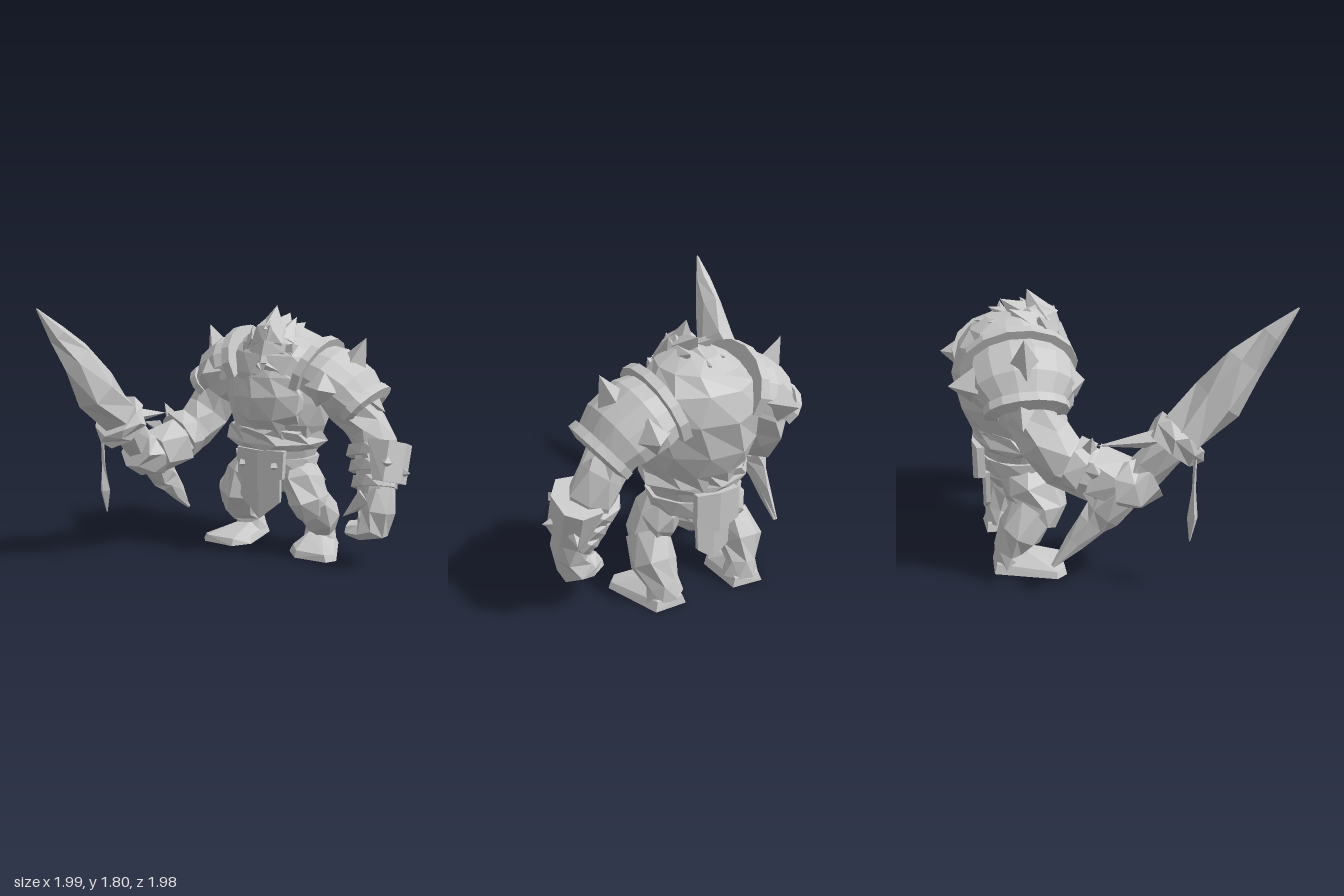
import * as THREE from 'three';
import { ConvexGeometry } from 'three/addons/geometries/ConvexGeometry.js';

const V = (x, y, z) => new THREE.Vector3(x, y, z);
const X = V(1, 0, 0), Z = V(0, 0, 1);

export function createModel() {
  const model = new THREE.Group();
  const stone = new THREE.MeshStandardMaterial({ color: 0xc8c8c8, side: THREE.DoubleSide });
  stone.name = 'plain grey';

  // Faceted mesh from any geometry
  function add(name, geo, parent = model) {
    const flat = geo.index ? geo.toNonIndexed() : geo;
    flat.computeVertexNormals();
    const mesh = new THREE.Mesh(flat, stone);
    mesh.name = name;
    parent.add(mesh);
    return mesh;
  }
  function build(pos, idx) {
    const geo = new THREE.BufferGeometry();
    geo.setAttribute('position', new THREE.Float32BufferAttribute(pos, 3));
    geo.setIndex(idx);
    return geo;
  }

  // Rough tube through sections [x, y, z, radiusU, radiusV], rings square to the path
  function limb(name, secs, n = 7, ref = Z, rough = 0.06, parent = model) {
    const c = secs.map(s => V(s[0], s[1], s[2])), pos = [], idx = [], m = secs.length;
    c.forEach((p, i) => {
      const t = c[Math.min(i + 1, m - 1)].clone().sub(c[Math.max(i - 1, 0)]).normalize();
      const u = t.clone().cross(ref).normalize(), v = t.clone().cross(u);
      for (let j = 0; j < n; j++) {
        const a = (j + (i % 2) * 0.3) / n * Math.PI * 2, k = 1 + rough * Math.sin(i * 7.1 + j * 3.7);
        pos.push(...p.clone().addScaledVector(u, secs[i][3] * k * Math.cos(a))
          .addScaledVector(v, secs[i][4] * k * Math.sin(a)).toArray());
        const q = (j + 1) % n, A = i * n + j, B = i * n + q;
        if (i < m - 1) idx.push(A, B, A + n, B, B + n, A + n);
      }
    });
    const s = m * n;
    pos.push(...c[0].toArray(), ...c[m - 1].toArray());
    for (let j = 0; j < n; j++) {
      const q = (j + 1) % n;
      idx.push(s, q, j, s + 1, s - n + j, s - n + q);
    }
    return add(name, build(pos, idx), parent);
  }

  // Pyramid from a base point to a tip
  function spike(name, base, tip, r = 0.07, sides = 4) {
    const a = V(...base), d = V(...tip).sub(a), h = d.length();
    const mesh = add(name, new THREE.ConeGeometry(r, h, sides).translate(0, h / 2, 0));
    mesh.position.copy(a);
    mesh.quaternion.setFromUnitVectors(V(0, 1, 0), d.normalize());
  }
  const hull = (name, pts, parent) => add(name, new ConvexGeometry(pts.map(p => V(...p))), parent);
  // Plate with a central fold: outline in xy, edges swept back by the fold
  const plate = (name, pts, depth, z, fold) => hull(name, pts.flatMap(([x, y]) => {
    const zz = z - fold * Math.abs(x + .03);
    return [[x, y, zz], [x, y, zz - depth]];
  }));

  // Torso, waist and belly guard
  limb('torso', [[-.03, .58, -.5, .25, .24], [-.03, .78, -.5, .31, .28], [-.02, .95, -.51, .36, .33],
    [-.02, 1.1, -.53, .4, .37], [-.01, 1.3, -.55, .42, .38], [0, 1.45, -.55, .36, .34],
    [0, 1.56, -.55, .26, .26], [0, 1.63, -.56, .12, .14]], 11, Z, .03);
  limb('bellyGuard', [[-.03, .77, -.5, .33, .29], [-.03, .82, -.5, .38, .31], [-.03, .9, -.5, .35, .32],
    [-.03, .93, -.5, .33, .32]], 9, Z, .03);
  limb('belt', [[-.03, .61, -.5, .31, .27], [-.03, .71, -.5, .32, .28]], 10, Z, .02);
  limb('hips', [[-.03, .44, -.5, .13, .16], [-.03, .55, -.5, .25, .23], [-.03, .64, -.5, .27, .25]], 8);

  // Loincloth, front and back
  plate('frontFlap', [[-.18, .62], [-.2, .42], [-.03, .27], [.12, .4], [.12, .62], [-.03, .62]], .03, -.22, .2);
  plate('frontBeltPlate', [[-.21, .78], [-.2, .58], [-.03, .49], [.15, .58], [.16, .78], [-.03, .78]], .05, -.19, .2);
  for (const x of [-.16, .09]) spike('beltStud', [x, .67, -.23], [x, .67, -.17], .04, 5);
  plate('backBeltPlate', [[-.17, .79], [-.18, .58], [-.03, .52], [.12, .58], [.12, .79], [-.03, .79]], .05, -.78, -.15);
  plate('backFlap', [[-.15, .6], [-.14, .38], [-.03, .3], [.08, .38], [.09, .6], [-.03, .6]], .03, -.74, -.1);

  // Legs and feet, mirrored about the hips
  for (const s of [-1, 1]) {
    const x = v => -.03 + s * v;
    const leg = new THREE.Group();
    leg.name = s > 0 ? 'leftLeg' : 'rightLeg';
    model.add(leg);
    limb('thigh', [[x(.19), .64, -.5, .11, .17], [x(.24), .53, -.46, .15, .2], [x(.29), .4, -.42, .15, .17],
      [x(.31), .31, -.46, .12, .13]], 7, Z, .08, leg);
    limb('shin', [[x(.3), .4, -.46, .14, .15], [x(.33), .25, -.57, .15, .15], [x(.3), .13, -.64, .11, .1],
      [x(.29), .04, -.64, .13, .11]], 7, Z, .07, leg);
    hull('foot', [[x(.18), 0, -.74], [x(.4), 0, -.75], [x(.55), 0, -.36], [x(.5), 0, -.29], [x(.26), 0, -.28],
      [x(.16), 0, -.4], [x(.2), .06, -.73], [x(.38), .06, -.73], [x(.53), .04, -.36], [x(.48), .05, -.3],
      [x(.26), .05, -.3], [x(.18), .05, -.42], [x(.25), .12, -.54], [x(.36), .11, -.52]], leg);
  }

  // Head, face and beard
  limb('head', [[0, 1.25, -.35, .16, .15], [.01, 1.38, -.35, .16, .14], [.01, 1.5, -.37, .16, .17],
    [0, 1.6, -.4, .13, .16], [0, 1.67, -.43, .07, .09]], 8);
  hull('brow', [[-.12, 1.53, -.27], [.15, 1.53, -.27], [-.12, 1.47, -.24], [.15, 1.47, -.24], [.015, 1.45, -.17],
    [.015, 1.55, -.21], [-.1, 1.5, -.4], [.12, 1.5, -.4]]);
  hull('nose', [[.015, 1.49, -.19], [-.025, 1.4, -.2], [.055, 1.4, -.2], [.015, 1.4, -.15], [.015, 1.38, -.22]]);
  for (const s of [-1, 1]) {
    spike('moustache', [.015 + s * .02, 1.38, -.19], [.015 + s * .14, 1.33, -.23], .03);
    spike('sideburn', [s * .14, 1.5, -.34], [s * .2, 1.28, -.27], .08, 5);
  }
  limb('beard', [[.01, 1.38, -.3, .13, .1], [.01, 1.3, -.3, .22, .14], [.01, 1.18, -.3, .27, .18],
    [.02, 1.08, -.32, .27, .2], [.02, .96, -.4, .22, .2]], 9, Z, .04);
  [[0, 1.58, -.35, 0, 1.78, -.43, .13], [-.09, 1.52, -.33, -.17, 1.64, -.38, .1], [.09, 1.54, -.36, .14, 1.7, -.46, .1],
    [.02, 1.6, -.45, .02, 1.72, -.6, .11], [-.08, 1.57, -.44, -.1, 1.68, -.56, .1], [.08, 1.56, -.48, .11, 1.65, -.67, .1],
    [0, 1.56, -.54, .02, 1.59, -.77, .1], [-.08, 1.55, -.5, -.11, 1.61, -.7, .08], [.02, 1.52, -.28, .04, 1.66, -.25, .08],
  ].forEach(h => spike('hairTuft', h.slice(0, 3), h.slice(3, 6), h[6], 5));

  // Arched sweep about a drooping axis: profile entries are [along, radiusUp, radiusZ]
  function arch(name, s, c, tilt, bend, profile, closed) {
    const pos = [], idx = [], n = profile.length, steps = 9;
    for (let i = 0; i <= steps; i++) {
      const th = (i / steps - .5) * 3.8;
      profile.forEach(([l, ru, rz], j) => {
        const mid = tilt + bend * l / 2, end = tilt + bend * l;
        pos.push(c[0] + s * (Math.cos(mid) * l + Math.sin(end) * ru * Math.cos(th)),
          c[1] - Math.sin(mid) * l + Math.cos(end) * ru * Math.cos(th), c[2] + rz * Math.sin(th));
        if (i === steps || (!closed && j === n - 1)) return;
        const A = i * n + j, B = i * n + (j + 1) % n;
        idx.push(...(s > 0 ? [A, A + n, B, B, A + n, B + n] : [A, B, A + n, B, B + n, A + n]));
      });
    }
    if (closed) for (const e of [0, steps * n]) idx.push(e, e + 1, e + 2, e, e + 2, e + 3);
    add(name, build(pos, idx));
  }

  // Shoulder armour with raised rims; e is the length, w and ru the radii at the outer end
  for (const [s, c, tilt, bend, e, w, ru] of [[1, [.27, 1.31, -.54], .36, .8, .43, .27, .15],
    [-1, [-.26, 1.36, -.53], .3, 1.2, .38, .21, .13]]) {
    const [x, y] = c;
    arch('shoulderPad', s, c, tilt, bend, [[0, .21, .31], [.11, .24, .34], [e - .14, .22, .32], [e, ru, w]], false);
    arch('innerRim', s, c, tilt, 0, [[-.03, .17, .27], [-.03, .27, .37], [.03, .27, .37], [.03, .17, .27]], true);
    arch('outerRim', s, c, tilt, bend, [[e - .03, ru - .03, w - .03], [e - .04, ru + .04, w + .05],
      [e + .01, ru + .05, w + .05], [e + .03, ru - .03, w - .03]], true);
    spike('frontSpike', [x + s * .17, y - .07, -.22], [x + s * .19, y - .06, s > 0 ? -.12 : -.15], .12);
    spike('backSpike', [x + s * .17, y - .05, -.83], [x + s * .2, y - .04, -.98], .12);
    spike('topSpike', [x + s * .27, y + .06, -.53], [x + s * .36, y + .26, -.54], .11);
    spike('furTuft', [x + s * .36, y - .14, -.56], [x + s * .5, y - .25, -.58], .09);
  }

  // Left arm with banded bracer
  limb('leftArm', [[.4, 1.28, -.53, .2, .22], [.53, 1.08, -.53, .17, .18], [.64, .95, -.56, .15, .16],
    [.71, .83, -.56, .15, .16], [.74, .65, -.51, .15, .16], [.77, .48, -.44, .12, .13]], 7);
  for (let i = 0; i < 3; i++) {
    const y = .78 - i * .1, z = -.56 + i * .04;
    limb('bracerStrap', [[.7 + i * .025, y + .035, z, .18 - i * .015, .18], [.71 + i * .025, y - .035, z + .025, .185 - i * .015, .18]], 8);
  }
  hull('bracerPlate', [[.85, -.58, .71], [.59, -.48, .79]].flatMap(([y, z, x]) => [[x, -.16], [x, .17], [.85, -.18],
    [.87, .18], [.935, -.11], [.95, .06]].map(([px, dz]) => [px, y + .3 * dz, z + dz])));
  spike('bracerSpike', [.94, .67, -.5], [1, .67, -.48], .04);
  spike('bracerSpike', [.87, .76, -.36], [.88, .77, -.29], .04);
  spike('bracerSpike', [.87, .66, -.66], [.89, .63, -.76], .04);
  limb('leftHand', [[.79, .54, -.45, .12, .13], [.8, .4, -.41, .125, .15], [.77, .29, -.4, .13, .15],
    [.69, .25, -.38, .07, .13], [.6, .26, -.37, .05, .09]], 7);
  spike('leftThumb', [.73, .5, -.36], [.58, .35, -.31], .08, 5);

  // Right arm reaching forward
  limb('rightArm', [[-.38, 1.3, -.52, .2, .22], [-.51, 1.12, -.49, .18, .18], [-.58, .98, -.43, .17, .17],
    [-.63, .86, -.32, .17, .16], [-.69, .77, -.14, .16, .15], [-.75, .74, .02, .13, .13]], 7, X);
  limb('rightCuff', [[-.65, .86, -.28, .17, .18], [-.69, .82, -.19, .18, .2]], 7, X);
  limb('rightBracer', [[-.67, .79, -.15, .18, .18], [-.74, .73, .04, .16, .17]], 6, X);
  for (const [dx, dy] of [[-1, .3], [-.3, 1], [-.3, -1]])
    spike('cuffSpike', [-.71 + dx * .15, .83 + dy * .14, -.19], [-.72 + dx * .27, .83 + dy * .23, -.18], .05);
  limb('rightFist', [[-.75, .72, -.02, .15, .16], [-.78, .73, .09, .17, .16], [-.79, .78, .2, .14, .13]], 7, X);

  // Great blade, handle and collar
  limb('blade', [[-.92, 1.8, 1, .005, .005], [-.89, 1.64, .86, .065, .055], [-.86, 1.48, .72, .125, .085],
    [-.835, 1.25, .57, .16, .135], [-.83, 1.06, .37, .15, .15], [-.82, .98, .29, .12, .13]], 6, X, .05);
  limb('handle', [[-.82, 1, .32, .12, .13], [-.8, .83, .16, .12, .1], [-.78, .67, 0, .13, .1],
    [-.77, .54, -.11, .12, .08], [-.765, .48, -.17, .1, .055], [-.76, .36, -.28, .07, .035], [-.76, .21, -.42, .015, .015]], 6, X, .04);
  limb('collar', [[-.82, 1.05, .38, .18, .16], [-.82, 1.01, .34, .2, .18], [-.82, .95, .29, .18, .16]], 7, X);
  spike('collarProng', [-.81, 1.02, .2], [-.77, .99, -.15], .06);
  limb('pendant', [[-.91, .93, .42, .015, .012], [-.91, .72, .42, .015, .012], [-.9, .52, .42, .04, .035],
    [-.9, .36, .41, .004, .004]], 4);

  return model;
}
